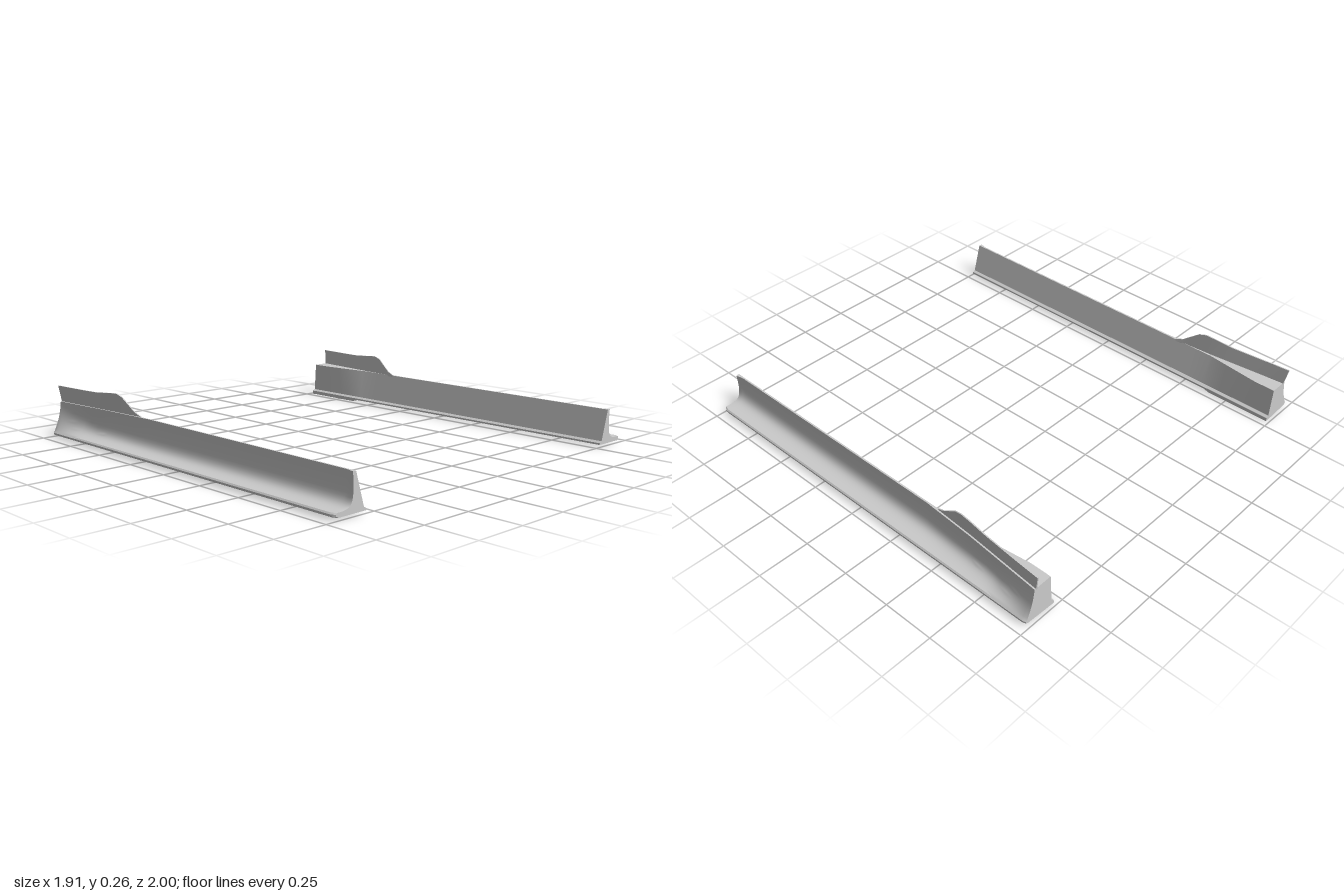
import * as THREE from 'three';
import { toCreasedNormals } from 'three/addons/utils/BufferGeometryUtils.js';

const { lerp, clamp, smoothstep } = THREE.MathUtils;
const ramp = (z, from, to) => clamp((from - z) / (from - to), 0, 1);

// Edges of the wall's top, seen from above: it widens into a block at the rear
const topOuter = z => 0.85 + 0.018 * ramp(z, -0.33, -0.6) + 0.037 * ramp(z, -0.6, -0.985)
  + 0.008 * smoothstep(z, 0.95, 0.995);
const topInner = z => 0.842 - 0.032 * ramp(z, -0.6, -0.88);

// Cross-section of the skirt at z, counter-clockwise from the front
function skirtSection(z) {
  const rear = 0.35 * ramp(z, -0.4, -0.8) + 0.65 * ramp(z, -0.75, -0.985);
  const round = 0.012 * Math.pow(ramp(-Math.abs(z), -0.965, -0.995), 2);
  const lip = lerp(0.01, 0, ramp(z, -0.62, -0.65));
  const edge = 0.957 - round;
  const flank = new THREE.CubicBezierCurve(
    new THREE.Vector2(edge - 0.006, 0.03),
    new THREE.Vector2(lerp(0.865, 0.927, rear), lerp(0.03, 0.07, rear)),
    new THREE.Vector2(lerp(0.848, 0.91, rear), lerp(0.035, 0.11, rear)),
    new THREE.Vector2(topOuter(z), 0.172)
  ).getPoints(14);
  return [
    [0.785, lip], [0.8, lip], [edge - 0.012, 0.01], [edge, 0.016], [edge, 0.024],
    ...flank.map(p => [p.x, p.y]),
    [topInner(z), 0.172], [0.8, 0.026], [0.786, 0.018]
  ].map(([x, y]) => [x, y, z]);
}

// Skin a row of equal cross-sections (front to rear), closing both ends
function loft(rings, side) {
  const n = rings[0].length, pos = [], index = [];
  rings.forEach(r => r.forEach(([x, y, z]) => pos.push(side * x, y, z)));
  const tri = (a, b, c) => (side > 0 ? index.push(a, b, c) : index.push(a, c, b));
  for (let k = 0; k < rings.length - 1; k++) {
    for (let i = 0; i < n; i++) {
      const a = k * n + i, b = k * n + (i + 1) % n;
      tri(a, a + n, b);
      tri(b, a + n, b + n);
    }
  }
  const cap = (k, flip) => {
    const outline = rings[k].map(([x, y]) => new THREE.Vector2(x, y));
    for (const [a, b, c] of THREE.ShapeUtils.triangulateShape(outline, [])) {
      const o = k * n;
      flip ? tri(o + a, o + c, o + b) : tri(o + a, o + b, o + c);
    }
  };
  cap(0, false);
  cap(rings.length - 1, true);
  const g = new THREE.BufferGeometry();
  g.setAttribute('position', new THREE.Float32BufferAttribute(pos, 3));
  g.setIndex(index);
  return toCreasedNormals(g, 0.5);
}

// Thin fin standing on the outer edge of the block, leaning outward
function finSection([z, top]) {
  const x = topOuter(z) - 0.012, h = top - 0.165;
  const lean = 0.12 * h, sweep = z < -0.98 ? 0.015 : 0;
  return [
    [x - 0.004, 0.165, z], [x + 0.004, 0.165, z],
    [x + 0.003 + lean, top, z - sweep], [x - 0.003 + lean, top, z - sweep]
  ];
}

export function createModel() {
  const group = new THREE.Group();
  const material = new THREE.MeshStandardMaterial({ color: 0xcccccc, side: THREE.DoubleSide });

  const stations = [0.995, 0.99, 0.982, 0.972, 0.962, 0.95, 0.5, 0, -0.33, -0.4, -0.5, -0.6, -0.62,
    -0.65, -0.7, -0.75, -0.8, -0.84, -0.88, -0.92, -0.95, -0.965, -0.975, -0.985];
  const finProfile = [[-0.39, 0.174], [-0.43, 0.19], [-0.47, 0.22], [-0.51, 0.25], [-0.55, 0.262],
    [-0.6, 0.259], [-0.7, 0.25], [-0.8, 0.249], [-0.9, 0.249], [-0.985, 0.249]];

  // One skirt with its fin on each side
  for (const [side, name] of [[1, 'left'], [-1, 'right']]) {
    const skirt = new THREE.Mesh(loft(stations.map(skirtSection), side), material);
    skirt.name = name + 'SideSkirt';
    const fin = new THREE.Mesh(loft(finProfile.map(finSection), side), material);
    fin.name = name + 'RearFin';
    group.add(skirt, fin);
  }
  return group;
}
